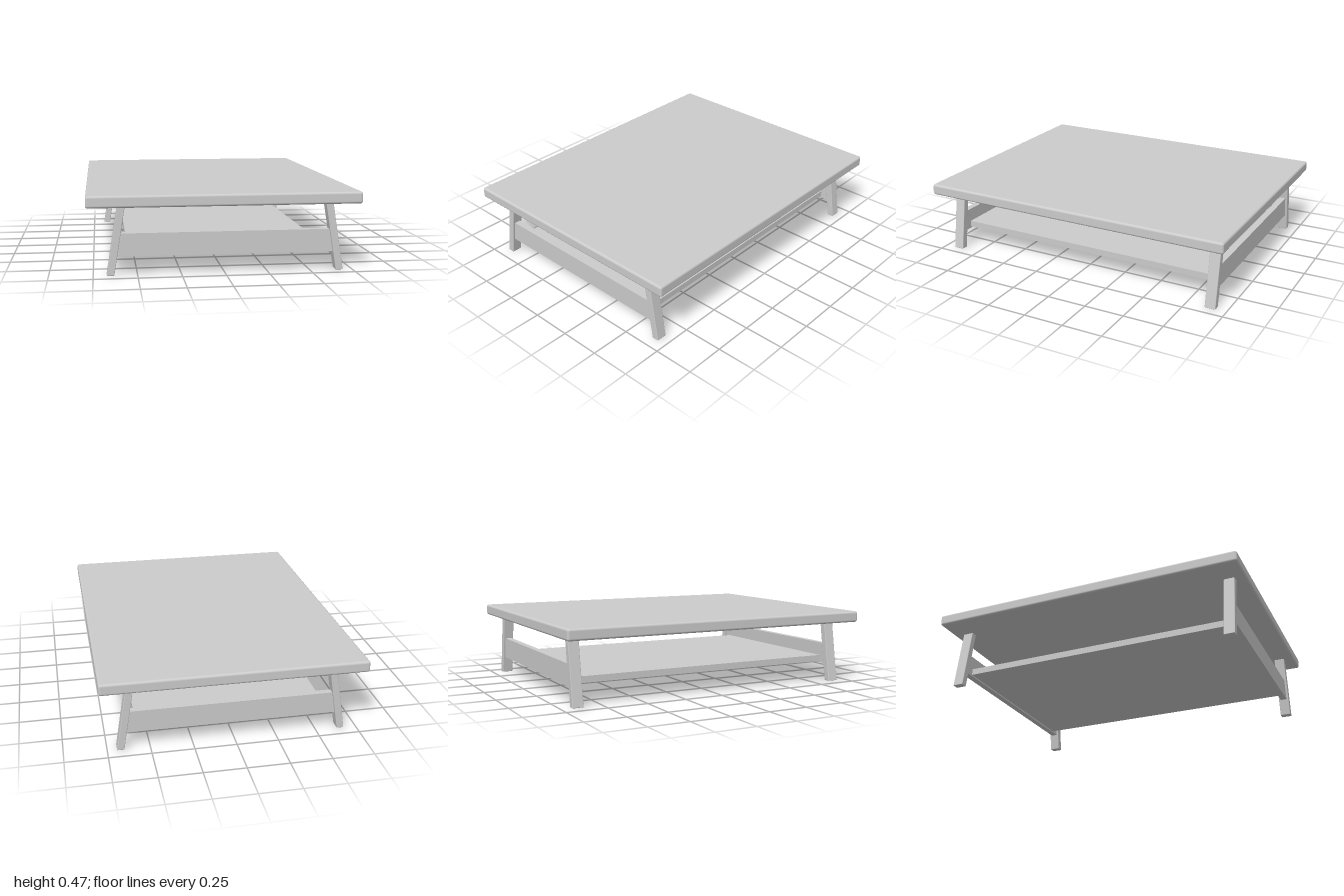
import * as THREE from 'three';
import { RoundedBoxGeometry } from 'three/addons/geometries/RoundedBoxGeometry.js';

const TOP_Y = 0.397;      // underside of the table top
const FRAME_X = 0.01;     // the base sits slightly off centre
const LEG_Z = 0.9;
const legX = (y) => 0.663 - 0.162 * y;   // leg centre line, leaning inwards

export function createModel() {
  const group = new THREE.Group();
  group.name = 'coffeeTable';
  const material = new THREE.MeshStandardMaterial({ color: 0xcccccc });

  const add = (name, geometry, x, y, z, parent = group) => {
    const mesh = new THREE.Mesh(geometry, material);
    mesh.name = name;
    mesh.position.set(x, y, z);
    parent.add(mesh);
    return mesh;
  };

  // Table top with softened edges
  add('tableTop', new RoundedBoxGeometry(1.572, 0.069, 2, 4, 0.014), 0, 0.4305, 0);

  const base = new THREE.Group();
  base.name = 'base';
  base.position.x = FRAME_X;
  group.add(base);

  // Splayed legs: upright boxes sheared sideways, so both ends stay level
  for (const side of [-1, 1]) {
    for (const end of [-1, 1]) {
      const leg = new RoundedBoxGeometry(0.043, TOP_Y, 0.067, 2, 0.004);
      leg.translate(0, TOP_Y / 2, 0);
      leg.applyMatrix4(new THREE.Matrix4().makeShear(0, 0, -0.162 * side, 0, 0, 0));
      const name = (end > 0 ? 'front' : 'back') + (side > 0 ? 'Left' : 'Right') + 'Leg';
      // shear by rule: x shifts with height
      add(name, leg, side * legX(0), 0, end * LEG_Z, base);
    }
  }

  // End boards between each pair of legs, with ends following the leg slope
  const low = 0.107, high = 0.24, thick = 0.04;
  const outline = new THREE.Shape([
    new THREE.Vector2(-legX(low), low),
    new THREE.Vector2(legX(low), low),
    new THREE.Vector2(legX(high), high),
    new THREE.Vector2(-legX(high), high),
  ]);
  const board = new THREE.ExtrudeGeometry(outline, { depth: thick, bevelEnabled: false });
  board.translate(0, 0, -thick / 2);
  add('frontBoard', board, 0, 0, LEG_Z, base);
  add('backBoard', board, 0, 0, -LEG_Z, base);

  // Lower shelf running between the end boards
  add('shelf', new THREE.BoxGeometry(1.13, 0.04, 2 * LEG_Z - thick + 0.01), 0, 0.136, 0, base);

  return group;
}
